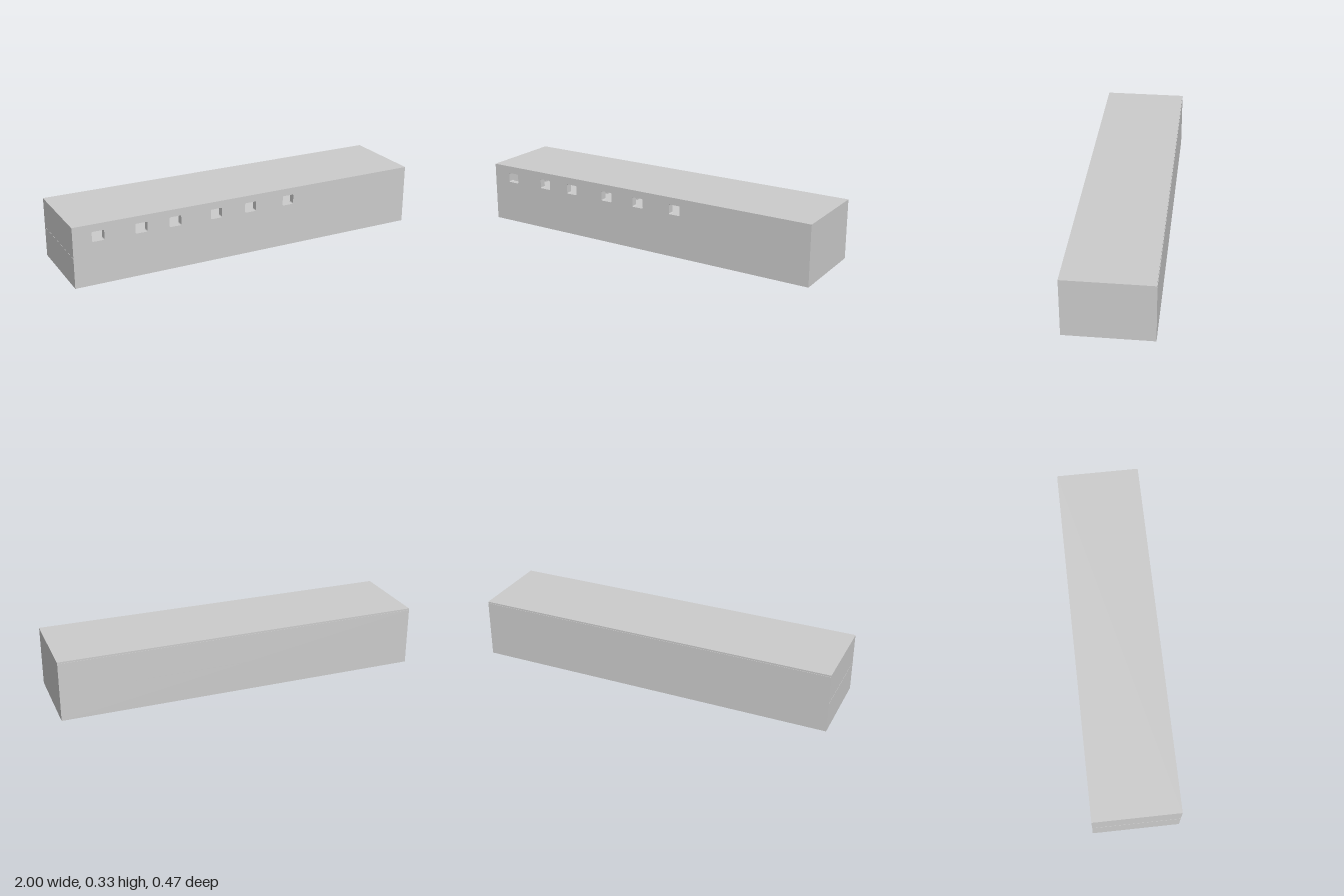
import * as THREE from 'three';

const grey = new THREE.MeshStandardMaterial({ color: 0xcccccc, flatShading: true });

export function createModel() {
  const model = new THREE.Group();

  const box = (name, x0, x1, y0, y1, z0, z1) => {
    const mesh = new THREE.Mesh(new THREE.BoxGeometry(x1 - x0, y1 - y0, z1 - z0), grey);
    mesh.position.set((x0 + x1) / 2, (y0 + y1) / 2, (z0 + z1) / 2);
    mesh.name = name;
    model.add(mesh);
  };

  const X = 0.999, Z = 0.233, wall = 0.035, eaves = 0.32;

  // Rounded window opening
  const opening = (cx, cy, w, h, r) => {
    const p = new THREE.Path();
    const corners = [[1, 1, 0], [-1, 1, 0.5], [-1, -1, 1], [1, -1, 1.5]];
    for (const [sx, sy, a] of corners)
      p.absarc(cx + sx * (w / 2 - r), cy + sy * (h / 2 - r), r, a * Math.PI, (a + 0.5) * Math.PI);
    p.closePath();
    return p;
  };

  // Front wall with six unevenly spaced windows
  const windows = [-0.865, -0.633, -0.445, -0.209, -0.006, 0.224];
  const face = new THREE.Shape([
    new THREE.Vector2(-X, 0), new THREE.Vector2(X, 0),
    new THREE.Vector2(X, eaves), new THREE.Vector2(-X, eaves),
  ]);
  for (const x of windows) face.holes.push(opening(x, 0.262, 0.066, 0.054, 0.006));
  const front = new THREE.Mesh(
    new THREE.ExtrudeGeometry(face, { depth: wall, bevelEnabled: false, curveSegments: 3 }), grey);
  front.position.z = Z - wall;
  front.name = 'frontWall';
  model.add(front);

  // Remaining shell
  box('backWall', -X, X, 0, eaves, -Z, -Z + wall);
  box('rightWall', -X, -X + 0.02, 0, eaves, -Z + wall, Z - wall);
  box('leftWall', X - 0.02, X, 0, eaves, -Z + wall, Z - wall);
  box('groundFloor', -X, X, 0, 0.01, -Z + wall, Z - wall);
  box('roof', -1, 1, eaves, 0.329, -0.231, Z);

  // Upper floor, its edge just showing at the right end
  box('upperFloor', -1, X, 0.158, 0.165, -Z, Z);

  // Low furniture in the rooms behind the windows: offset from window, width
  const furniture = [[-0.012, 0.024], [0.016, 0.034], [0.01, 0.046], [-0.006, 0.026], [0, 0.05], [-0.008, 0.05]];
  furniture.forEach(([dx, w], i) => {
    const x = windows[i] + dx;
    box('furniture', x - w / 2, x + w / 2, 0.165, 0.257, -0.12, -0.06);
  });

  return model;
}
